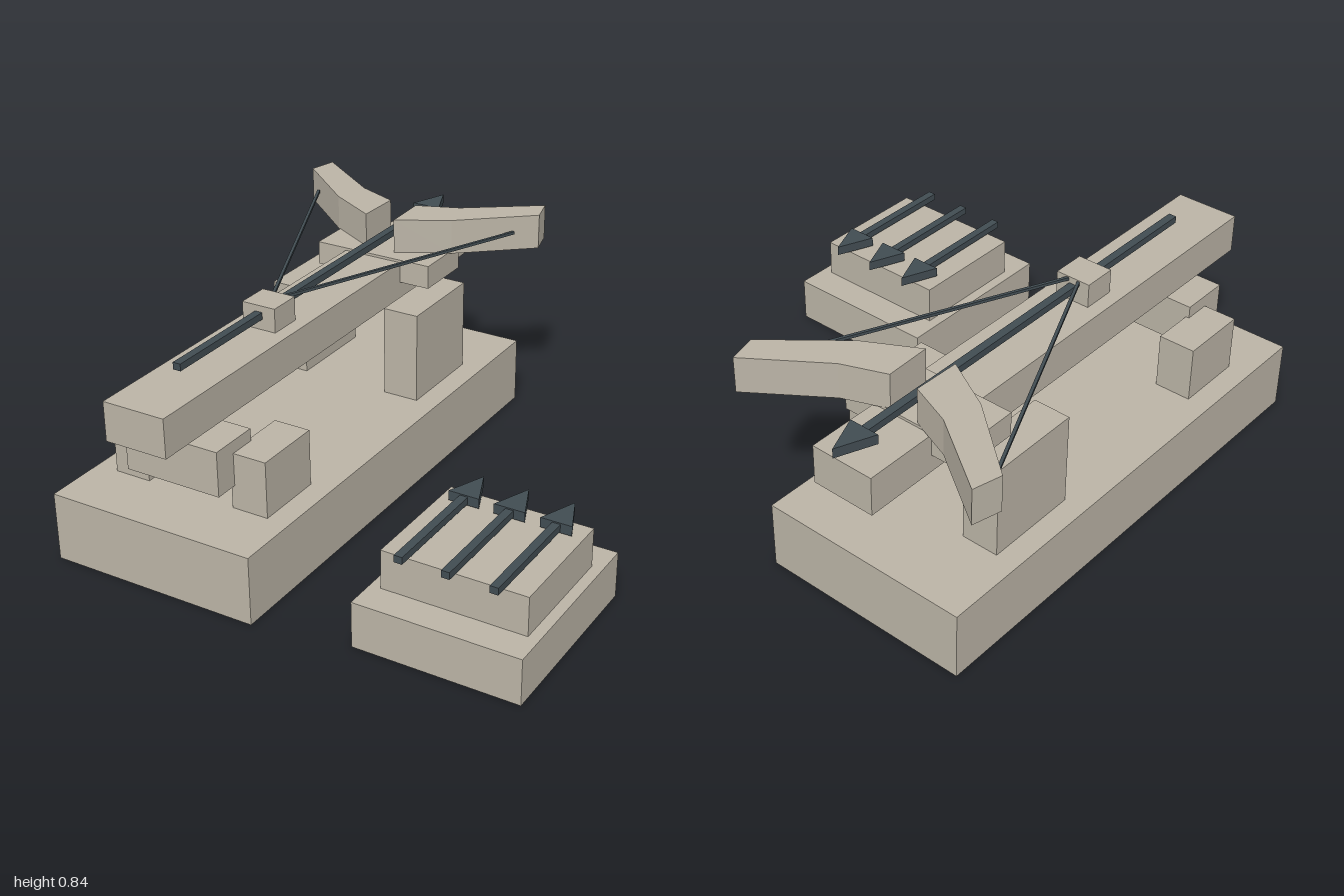
import * as THREE from 'three';

const stone = new THREE.MeshStandardMaterial({ color: 0xbbb4a6 });
stone.name = 'warm grey';
const iron = new THREE.MeshStandardMaterial({ color: 0x414c52 });
iron.name = 'dark slate';

const AXIS = -0.42; // centre line of the weapon

// Box given by its extents along each axis
function box(name, [x0, x1], [y0, y1], [z0, z1], material = stone) {
  const mesh = new THREE.Mesh(new THREE.BoxGeometry(x1 - x0, y1 - y0, z1 - z0), material);
  mesh.position.set((x0 + x1) / 2, (y0 + y1) / 2, (z0 + z1) / 2);
  mesh.name = name;
  return mesh;
}

// Plan outline of [x, z] points raised from y0 to y1
function slab(name, points, y0, y1, material) {
  const shape = new THREE.Shape(points.map(([x, z]) => new THREE.Vector2(x, -z)));
  const geometry = new THREE.ExtrudeGeometry(shape, { depth: y1 - y0, bevelEnabled: false });
  geometry.rotateX(-Math.PI / 2).translate(0, y0, 0);
  const mesh = new THREE.Mesh(geometry, material);
  mesh.name = name;
  return mesh;
}

// Bolt with a square shaft and a flat triangular head pointing to -z
function bolt(name, x, y, zTail, zNeck, zTip) {
  const group = new THREE.Group();
  group.name = name;
  group.add(
    box('shaft', [x - 0.015, x + 0.015], [y - 0.013, y + 0.013], [zNeck, zTail], iron),
    slab('head', [[x - 0.057, zNeck], [x + 0.057, zNeck], [x, zTip]], y - 0.018, y + 0.018, iron)
  );
  return group;
}

// Thin square bar between two points
function bar(name, from, to, size) {
  const mesh = new THREE.Mesh(new THREE.BoxGeometry(size, size, from.distanceTo(to)), iron);
  mesh.position.copy(from).add(to).multiplyScalar(0.5);
  mesh.lookAt(to);
  mesh.name = name;
  return mesh;
}

export function createModel() {
  const model = new THREE.Group();
  model.name = 'boltThrower';

  // Plinth, stock and its supports
  model.add(
    box('plinth', [-0.82, -0.02], [0, 0.255], [-0.897, 0.971]),
    box('stock', [-0.54, -0.3], [0.55, 0.695], [-0.964, 1]),
    box('frontCrossBlock', [-0.608, -0.232], [0.343, 0.511], [0.635, 0.827]),
    box('rearCrossBar', [-0.663, -0.177], [0.615, 0.705], [-0.69, -0.453]),
    box('nut', [-0.487, -0.353], [0.685, 0.785], [0.175, 0.3])
  );

  // Paired posts, bow arms and strings
  const arm = [[0.485, -0.935], [0.215, -0.745], [0.056, -0.682],
    [0.061, -0.508], [0.252, -0.614], [0.512, -0.83]];
  for (const side of [-1, 1]) {
    const label = side > 0 ? 'left' : 'right';
    const x = AXIS + side * 0.245;
    const across = [x - 0.07, x + 0.07];
    model.add(
      box(label + 'RearPost', across, [0.255, 0.6], [-0.602, -0.245]),
      box(label + 'FrontPost', across, [0.255, 0.465], [0.475, 0.737]),
      slab(label + 'BowArm', arm.map(([ax, az]) => [AXIS + side * ax, az]), 0.702, 0.836, stone),
      bar(label + 'String',
        new THREE.Vector3(AXIS + side * 0.44, 0.775, -0.76),
        new THREE.Vector3(AXIS, 0.775, 0.225), 0.011)
    );
  }
  model.add(bolt('loadedBolt', AXIS, 0.748, 0.766, -0.86, -1));

  // Ammunition stand with spare bolts
  model.add(
    box('standBase', [0.325, 0.93], [0, 0.17], [0.217, 0.908]),
    box('standTop', [0.365, 0.89], [0.17, 0.313], [0.335, 0.793])
  );
  [0.46, 0.628, 0.796].forEach((x, i) => {
    model.add(bolt('spareBolt' + (i + 1), x, 0.336, 0.845, 0.422, 0.282));
  });

  return model;
}
